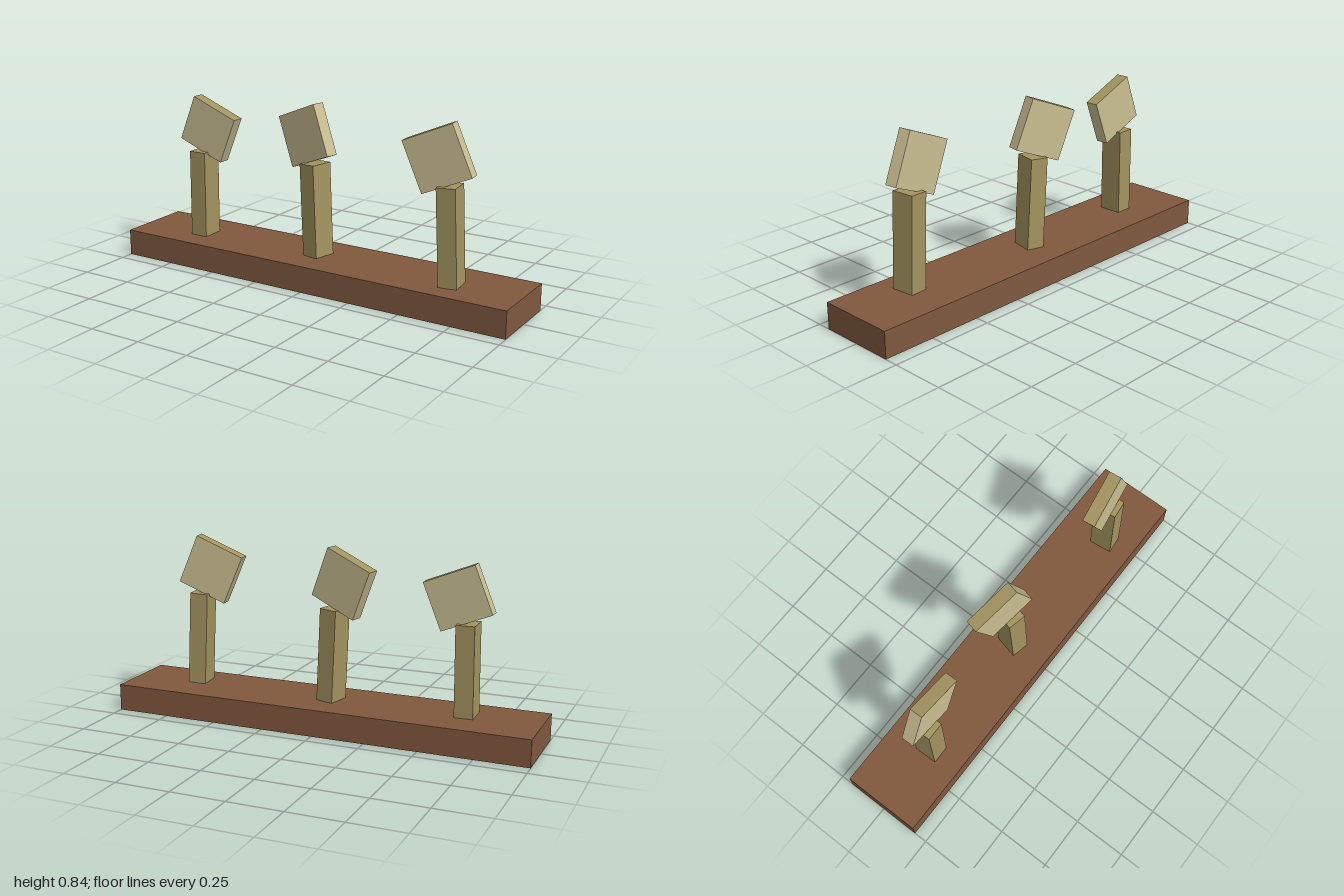
import * as THREE from 'three';

const DEG = Math.PI / 180;

export function createModel() {
  const wood = new THREE.MeshStandardMaterial({ color: 0x80593e, side: THREE.DoubleSide });
  wood.name = 'brown wood';
  const olive = new THREE.MeshStandardMaterial({ color: 0xa3945f });
  olive.name = 'olive tan';
  const pale = new THREE.MeshStandardMaterial({ color: 0xcabf92 });
  pale.name = 'pale tan';

  const model = new THREE.Group();
  model.name = 'targetStand';

  function addBox(parent, name, size, material, pos, roll) {
    const mesh = new THREE.Mesh(new THREE.BoxGeometry(...size), material);
    mesh.name = name;
    mesh.position.set(...pos);
    mesh.rotation.z = roll * DEG;
    parent.add(mesh);
    return mesh;
  }

  // Hollow base: a box shell without its bottom face
  const shell = new THREE.BoxGeometry(2, 0.125, 0.375);
  const corners = Array.from(shell.index.array);
  corners.splice(18, 6);
  shell.setIndex(corners);
  shell.clearGroups();
  const base = new THREE.Mesh(shell, wood);
  base.name = 'base';
  base.position.y = 0.0625;
  model.add(base);

  // Three stakes, each turned and leaning a little, with a tilted block on top
  const stakes = [
    { x: -0.657, z: 0.019, top: 0.541, yaw: 1, lean: -0.5, head: [-0.612, 0.652, 0.017], size: [0.247, 0.228, 0.06], tilt: -21.8 },
    { x: -0.028, z: 0.001, top: 0.558, yaw: -13, lean: 2.8, head: [-0.086, 0.678, -0.013], size: [0.242, 0.242, 0.06], tilt: 21.5 },
    { x: 0.669, z: 0.038, top: 0.565, yaw: 6, lean: 2.8, head: [0.607, 0.679, 0.045], size: [0.242, 0.242, 0.06], tilt: 23 },
  ];
  // Only the upper face of a block shares the post colour
  const headFaces = [pale, pale, olive, pale, pale, pale];
  for (const s of stakes) {
    const height = s.top - 0.125;
    const post = addBox(model, 'post', [0.086, height, 0.11], olive, [s.x, 0.125 + height / 2, s.z], s.lean);
    const head = addBox(model, 'headBlock', s.size, headFaces, s.head, s.tilt);
    post.rotation.order = head.rotation.order = 'YXZ';
    post.rotation.y = head.rotation.y = s.yaw * DEG;
  }
  return model;
}
